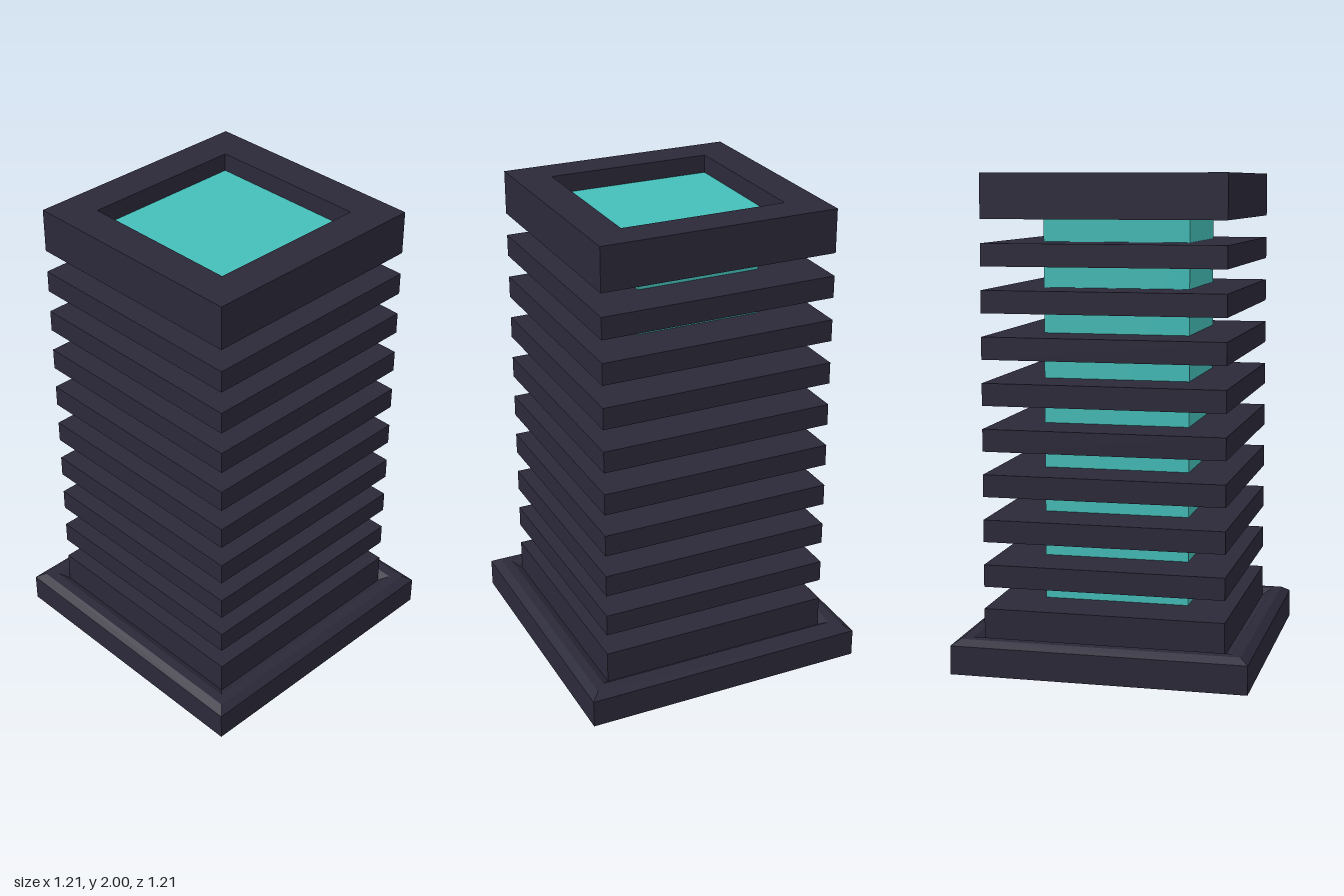
import * as THREE from 'three';

const dark = new THREE.MeshStandardMaterial({ color: 0x2b2939, flatShading: true });
const teal = new THREE.MeshStandardMaterial({ color: 0x45bfba, flatShading: true });

const HALF = 0.494; // half width of the fins and blocks

export function createModel() {
  const model = new THREE.Group();

  const add = (name, geometry, material, y = 0) => {
    const mesh = new THREE.Mesh(geometry, material);
    mesh.name = name;
    mesh.position.y = y;
    model.add(mesh);
    return mesh;
  };

  // Box given by its bottom and top heights
  const slab = (name, w, d, y0, y1, material) =>
    add(name, new THREE.BoxGeometry(w, y1 - y0, d), material, (y0 + y1) / 2);

  // Square ring swept from a [half width, height] profile
  const squareLathe = (name, profile) => {
    const points = profile.map(([h, y]) => new THREE.Vector2(h * Math.SQRT2, y));
    return add(name, new THREE.LatheGeometry(points, 4, Math.PI / 4), dark);
  };

  // Plinth with a raised rim, bevelled outside and inside
  squareLathe('basePlinth', [
    [0, 0], [0.604, 0], [0.604, 0.118], [0.57, 0.14],
    [0.53, 0.14], [HALF, 0.116], [0, 0.116],
  ]);
  slab('lowerBlock', HALF * 2, HALF * 2, 0.116, 0.25, dark);

  // Glowing core, slightly wider than deep
  slab('core', 0.602, 0.518, 0.25, 1.82, teal);

  // Evenly spaced fins
  for (let i = 0; i < 8; i++) {
    const y = 0.341 + i * 0.1848;
    slab(`fin${i + 1}`, HALF * 2, HALF * 2, y, y + 0.091, dark);
  }

  // Cap with a square recess and its inset panel
  squareLathe('cap', [[0, 1.82], [HALF, 1.82], [HALF, 2], [0.345, 2], [0.345, 1.925]]);
  add('capPanel', new THREE.PlaneGeometry(0.69, 0.69), teal, 1.925).rotation.x = -Math.PI / 2;

  return model;
}
